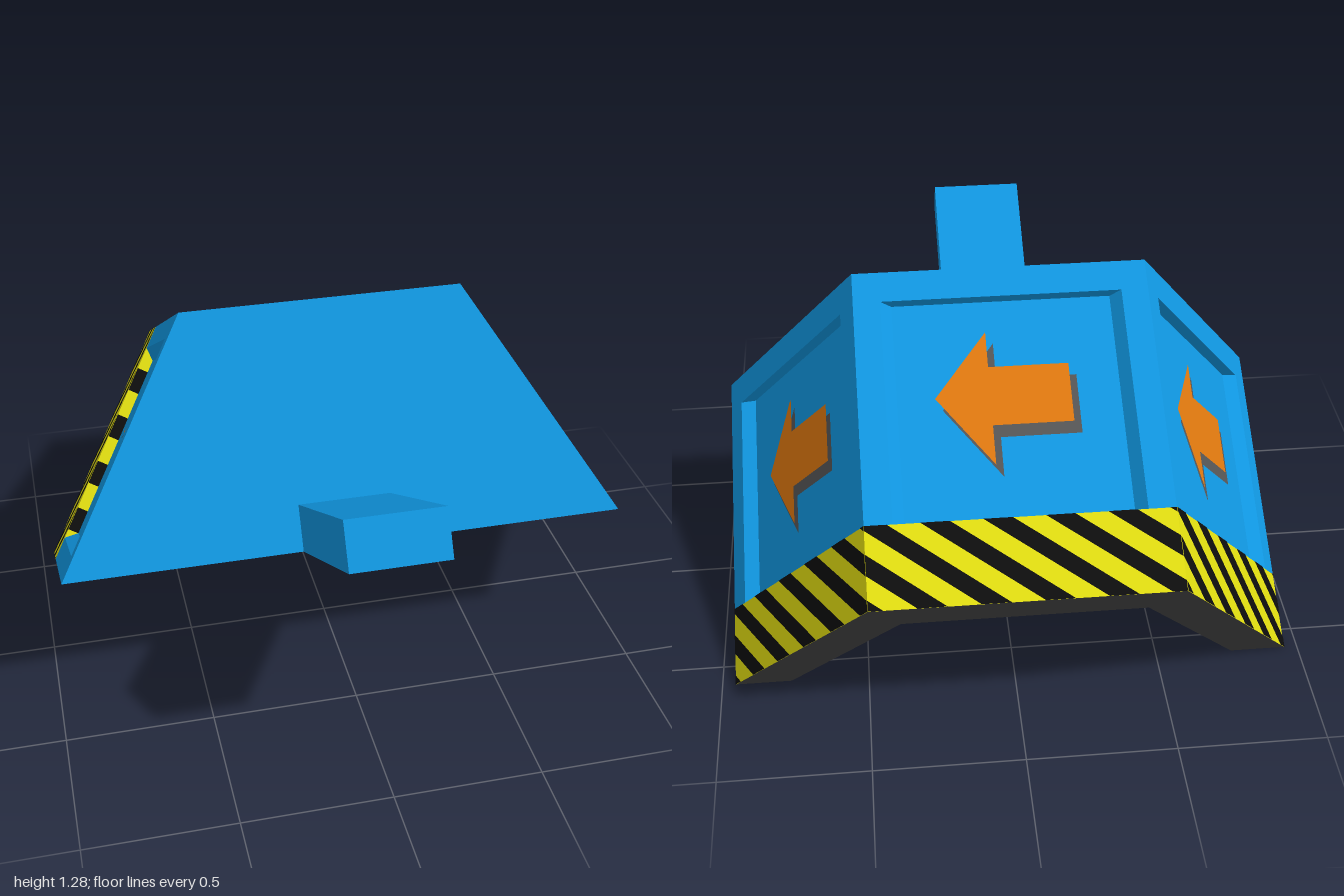
import * as THREE from 'three';

const mat = (name, color) => {
  const m = new THREE.MeshStandardMaterial({ color });
  m.name = name;
  return m;
};

// Flat-shaded mesh from convex polygons, each a list of [x, y, z] corners
function polyMesh(name, material, polys) {
  const pos = [];
  for (const p of polys) {
    for (let i = 1; i < p.length - 1; i++) pos.push(...p[0], ...p[i], ...p[i + 1]);
  }
  const g = new THREE.BufferGeometry();
  g.setAttribute('position', new THREE.Float32BufferAttribute(pos, 3));
  g.computeVertexNormals();
  const mesh = new THREE.Mesh(g, material);
  mesh.name = name;
  return mesh;
}

// Upward-facing rectangle at height y
const flat = (x0, x1, z0, z1, y) => [[x0, y, z0], [x0, y, z1], [x1, y, z1], [x1, y, z0]];

// Cut a polygon to |x| <= limit
function clipX(poly, limit) {
  for (const side of [1, -1]) {
    const out = [];
    poly.forEach((a, i) => {
      const b = poly[(i + 1) % poly.length];
      const da = limit - side * a[0], db = limit - side * b[0];
      if (da >= 0) out.push(a);
      if (da * db < 0) out.push(a.map((v, k) => v + (b[k] - v) * da / (da - db)));
    });
    poly = out;
  }
  return poly;
}

export function createModel() {
  const blue = mat('blue', 0x1096e0);
  const yellow = mat('yellow', 0xe0dc10);
  const black = mat('black', 0x0d0d0d);
  const orange = mat('orange', 0xde780f);
  const shade = mat('grey', 0x555555);
  const dark = mat('darkGrey', 0x444444);

  // Half-hexagon shell: outer and inner radius, apothems, length, tunnel depth
  const R = 0.955, A = R * Math.sqrt(3) / 2, L = 1.12;
  const r = 0.765, a = r * Math.sqrt(3) / 2, T = 0.95;
  const H = R / 2, h = r / 2;
  const band = 0.265;                       // striped band at the back
  const px = 0.39, fx = 0.355, pf = 1.015;  // recess rim, floor half width, front edge
  const F = A - 0.04;                       // recess floor

  // One of the three identical outer faces, facing +y
  function sidePanel(name) {
    const g = new THREE.Group();
    g.name = name;

    g.add(polyMesh('panelFrame', blue, [
      flat(-H, -px, band, L, A),
      flat(px, H, band, L, A),
      flat(-px, px, pf, L, A),
      flat(-fx, fx, band, pf, F),
      [[-px, A, band], [-px, A, pf], [-fx, F, pf], [-fx, F, band]],
      [[fx, F, band], [fx, F, pf], [px, A, pf], [px, A, band]],
      [[-fx, F, pf], [-px, A, pf], [px, A, pf], [fx, F, pf]],
    ]));

    // Warning band and the step down from it into the recess
    g.add(polyMesh('warningBand', yellow, [
      flat(-H, H, 0, band, A),
      [[-fx, F, band], [fx, F, band], [px, A, band], [-px, A, band]],
    ]));

    // Diagonal stripes
    const pitch = 2 * H / 5, half = pitch * 0.235, lean = 1.35 * band, stripes = [];
    for (let i = -3; i <= 5; i++) {
      const c = -H + i * pitch, y = A + 0.002, z = band + 0.002;
      const top = clipX([
        [c - half, y, 0], [c - half + lean, y, band],
        [c + half + lean, y, band], [c + half, y, 0],
      ], H);
      if (top.length > 2) stripes.push(top);
      const x0 = c - half + lean, x1 = c + half + lean;
      const step = clipX([[x0, F, z], [x1, F, z], [x1, A, z], [x0, A, z]], fx + 0.01);
      if (step.length > 2) stripes.push(step);
    }
    g.add(polyMesh('stripes', black, stripes));

    // Arrow with its offset backing
    const arrow = (label, material, dx, dz, y) => g.add(polyMesh(label, material, [
      flat(-0.197 + dx, 0.06 + dx, 0.582 + dz, 0.782 + dz, y),
      [[0.06 + dx, y, 0.45 + dz], [0.06 + dx, y, 0.905 + dz], [0.235 + dx, y, 0.682 + dz]],
    ]));
    arrow('arrowBacking', shade, -0.022, -0.04, F + 0.002);
    arrow('arrow', orange, 0, 0, F + 0.005);

    // Back rim and tunnel lining
    g.add(polyMesh('backRim', dark, [
      [[-h, a, 0], [-H, A, 0], [H, A, 0], [h, a, 0]],
    ]));
    g.add(polyMesh('tunnelLining', dark, [
      flat(-h, h, 0, T, a).reverse(),
    ]));
    return g;
  }

  const body = new THREE.Group();
  body.name = 'body';
  [['rightPanel', 1], ['topPanel', 0], ['leftPanel', -1]].forEach(([name, k]) => {
    const p = sidePanel(name);
    p.rotation.z = k * Math.PI / 3;
    body.add(p);
  });

  body.add(polyMesh('frontWall', blue, [
    [[-R, 0, L], [R, 0, L], [H, A, L], [-H, A, L]],
  ]));
  body.add(polyMesh('bottomRim', blue, [
    flat(-R, -r, 0, L, 0).reverse(),
    flat(r, R, 0, L, 0).reverse(),
    flat(-r, r, T, L, 0).reverse(),
  ]));
  body.add(polyMesh('tunnelEndWall', dark, [
    [[-r, 0, T], [-h, a, T], [h, a, T], [r, 0, T]],
  ]));

  // Handle sticking out of the front wall
  const handle = new THREE.Mesh(new THREE.BoxGeometry(0.314, 0.157, 0.71), blue);
  handle.name = 'handle';
  handle.position.set(0, 0.0785, L + 0.355);
  body.add(handle);

  // The whole body leans back on its rear edge
  body.rotation.x = -Math.PI / 6;
  body.position.z = -0.585;

  const model = new THREE.Group();
  model.name = 'model';
  model.add(body);
  return model;
}
